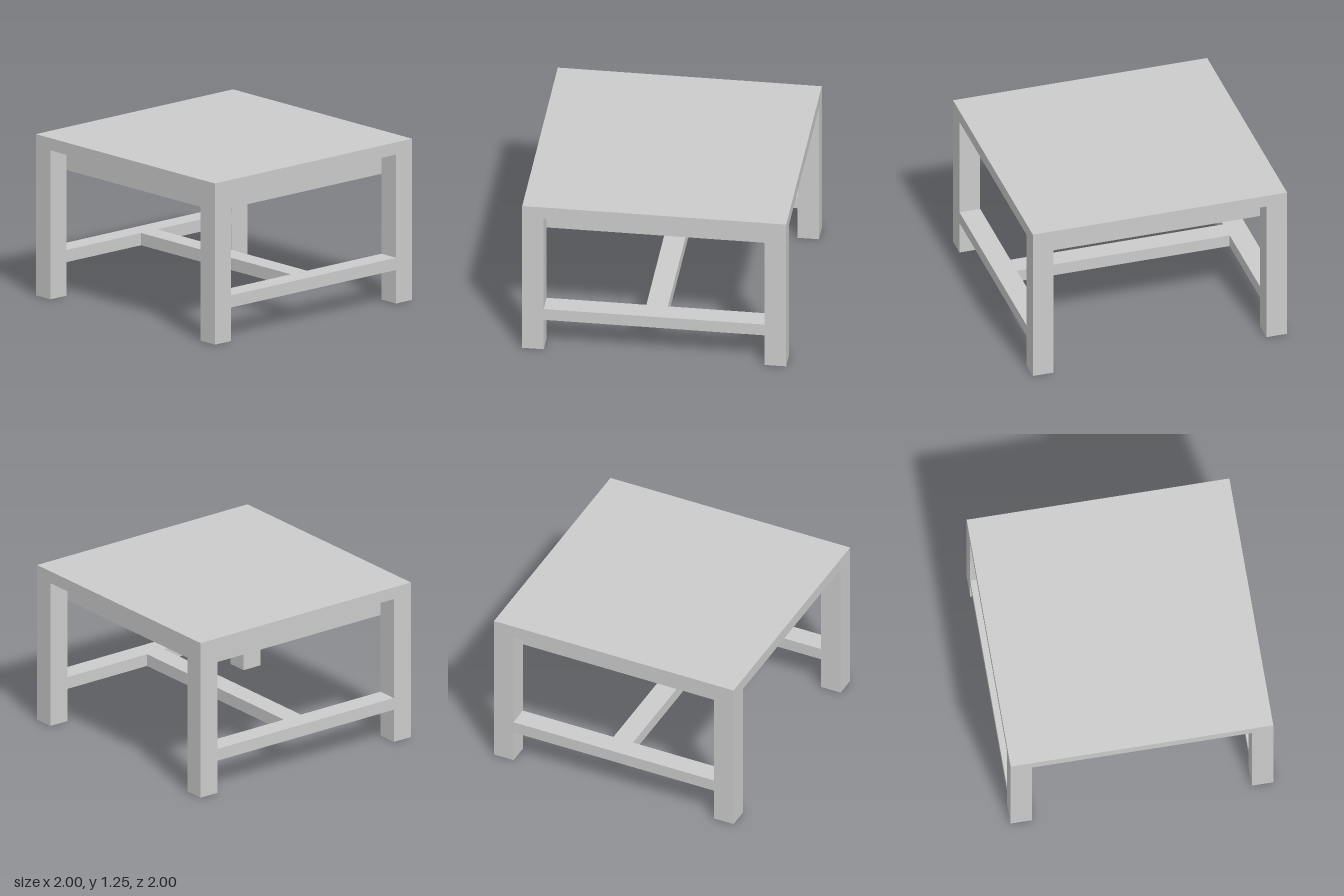
import * as THREE from 'three';

const material = new THREE.MeshStandardMaterial({ color: 0xcccccc });

// Box given by its size, its centre in x and z, and its underside
function block(name, w, h, d, x, bottom, z) {
  const mesh = new THREE.Mesh(new THREE.BoxGeometry(w, h, d), material);
  mesh.name = name;
  mesh.position.set(x, bottom + h / 2, z);
  return mesh;
}

export function createModel() {
  const table = new THREE.Group();
  table.name = 'table';

  const height = 1.25, topThickness = 0.095;
  const under = height - topThickness; // underside of the top
  const leg = 0.163;
  const inner = 1 - leg; // inner faces of the legs
  const legCentre = 1 - leg / 2;
  const apronHeight = 0.18, apronThickness = 0.07;
  const railBottom = 0.26, railHeight = 0.095;

  // Square top, flush with the legs
  table.add(block('tableTop', 2, topThickness, 2, 0, under, 0));

  // Four corner legs
  for (const x of [-1, 1]) {
    for (const z of [-1, 1]) {
      table.add(block('leg', leg, under, leg, x * legCentre, 0, z * legCentre));
    }
  }

  // Apron ring, set back to the inner corners of the legs
  const apronCentre = inner - apronThickness / 2;
  for (const s of [-1, 1]) {
    table.add(block(s > 0 ? 'frontApron' : 'backApron',
      2 * inner, apronHeight, apronThickness, 0, under - apronHeight, s * apronCentre));
    table.add(block(s > 0 ? 'leftApron' : 'rightApron',
      apronThickness, apronHeight, 2 * (inner - apronThickness), s * apronCentre, under - apronHeight, 0));
  }

  // H-shaped stretcher: two side rails and a cross rail
  for (const s of [-1, 1]) {
    table.add(block(s > 0 ? 'leftStretcher' : 'rightStretcher',
      leg, railHeight, 2 * inner, s * legCentre, railBottom, 0));
  }
  table.add(block('crossStretcher', 2 * inner, railHeight, leg, 0, railBottom, 0));

  return table;
}
